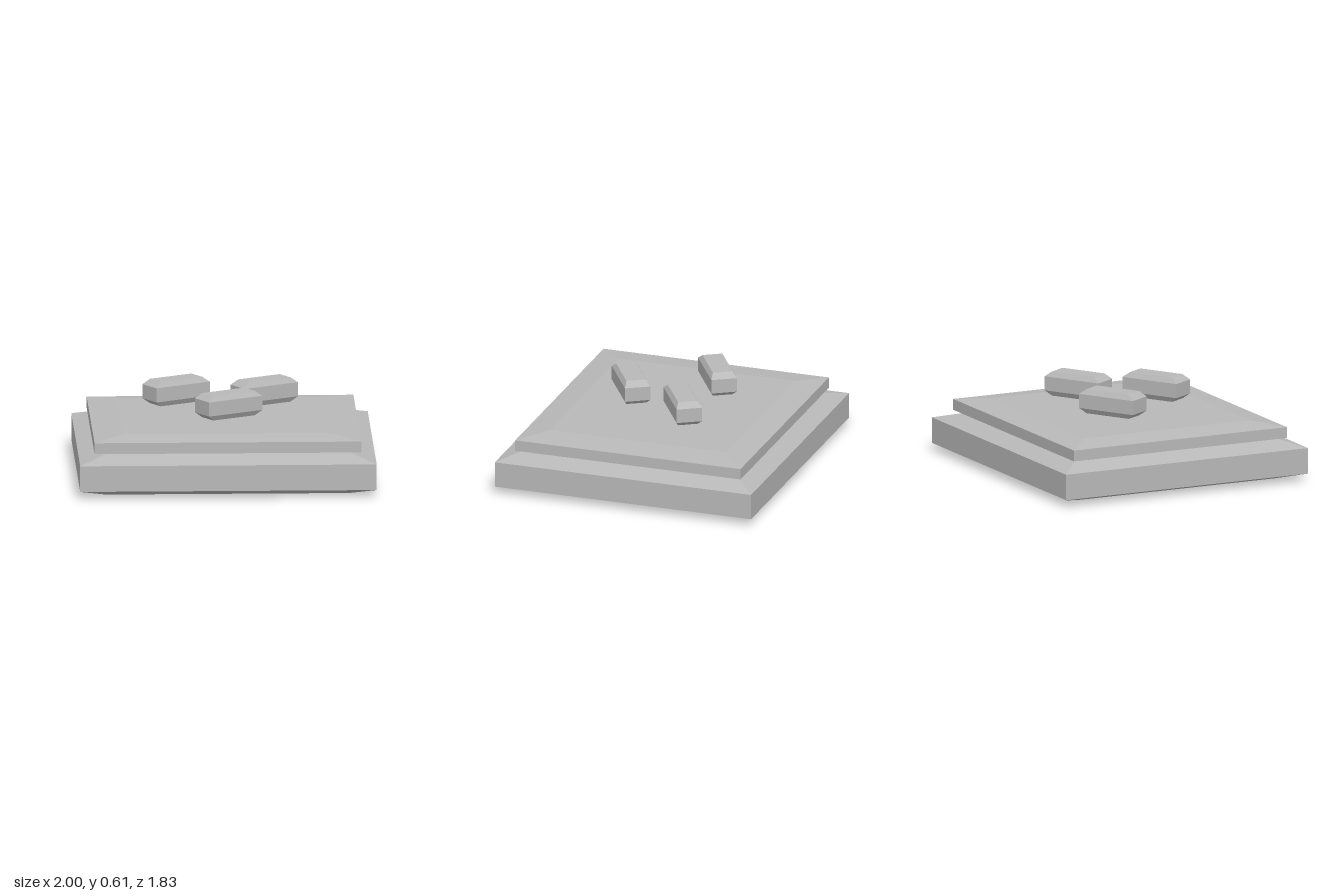
import * as THREE from 'three';

// Block with straight sides whose top and bottom rims slope inward
function bevelledBlock(width, depth, y0, y1, rim, insetX, insetZ) {
  const heights = [y0, y0 + rim, y1 - rim, y1];
  const geo = new THREE.BoxGeometry(width, 3, depth, 1, 3, 1).toNonIndexed();
  const pos = geo.attributes.position;
  for (let i = 0; i < pos.count; i++) {
    const ring = Math.round(pos.getY(i) + 1.5);
    const capped = ring === 0 || ring === 3;
    const x = pos.getX(i), z = pos.getZ(i);
    pos.setXYZ(i,
      x - (capped ? Math.sign(x) * insetX : 0),
      heights[ring],
      z - (capped ? Math.sign(z) * insetZ : 0));
  }
  geo.computeVertexNormals();
  return geo;
}

export function createModel() {
  const model = new THREE.Group();
  model.name = 'plinth';
  const grey = new THREE.MeshStandardMaterial({ color: 0xb8b8b8, flatShading: true });
  grey.name = 'stone grey';

  const add = (name, geo) => {
    const mesh = new THREE.Mesh(geo, grey);
    mesh.name = name;
    model.add(mesh);
    return mesh;
  };

  // Two stacked slabs
  add('baseSlab', bevelledBlock(2, 1.83, 0, 0.28, 0.052, 0.18, 0.165));
  add('upperSlab', bevelledBlock(1.8, 1.61, 0.263, 0.39, 0.026, 0.2, 0.178));

  // Three parallel bars hovering above the slabs
  const barGeo = bevelledBlock(0.428, 0.175, 0.44, 0.607, 0.035, 0.047, 0.02);
  const spots = [[-0.316, -0.214], [0.278, -0.174], [0.022, 0.285]];
  spots.forEach(([x, z], i) => {
    const bar = add('bar' + (i + 1), barGeo);
    bar.position.set(x, 0, z);
    bar.rotation.y = 0.547;
  });

  return model;
}
